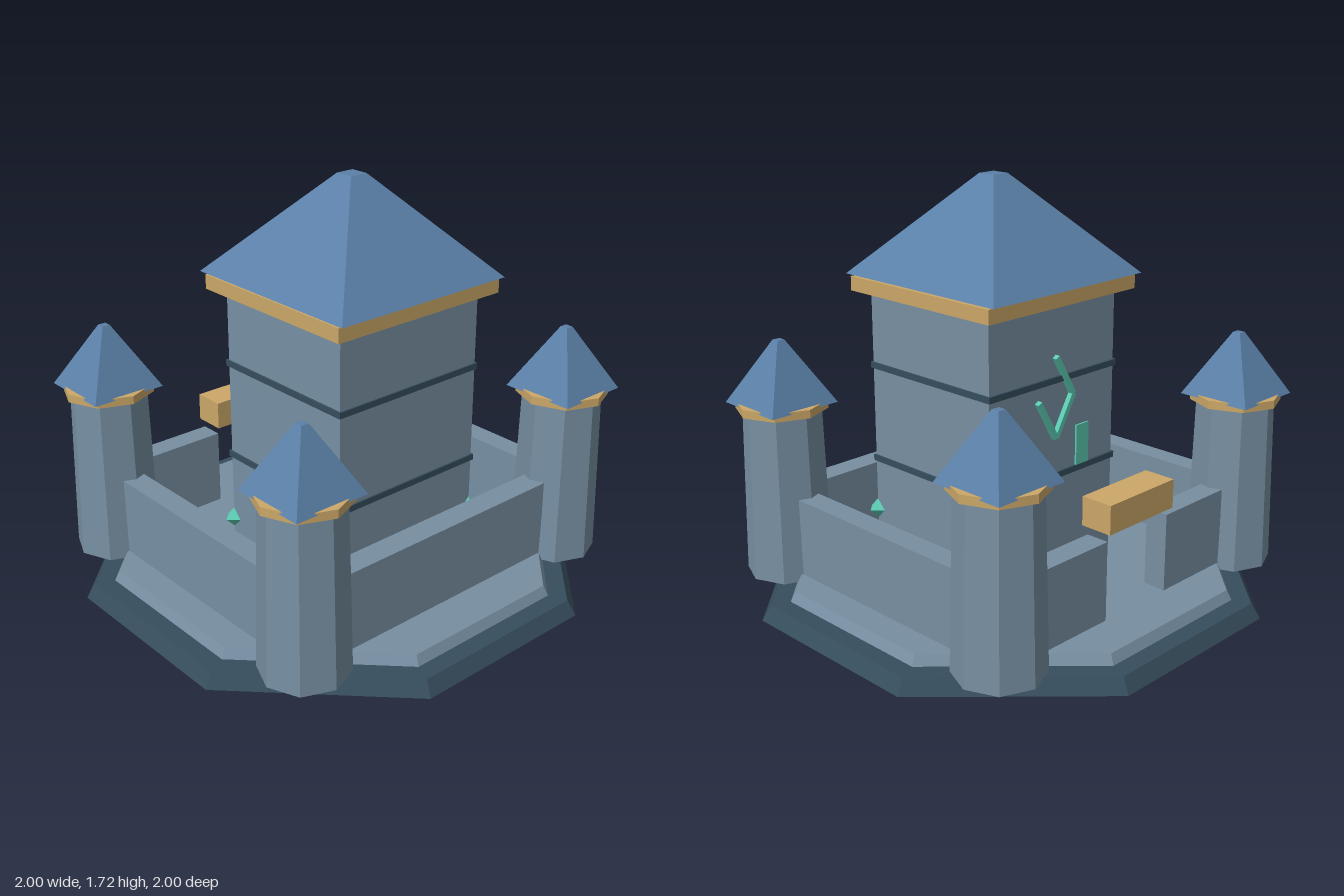
import * as THREE from 'three';

const mat = (name, color) => {
  const m = new THREE.MeshStandardMaterial({ color });
  m.name = name;
  return m;
};

export function createModel() {
  const root = new THREE.Group();
  root.name = 'castle';
  const stone = mat('stone', 0x778fa2);
  const slate = mat('darkSlate', 0x364d5c);
  const roof = mat('roofBlue', 0x5b80a8);
  const gold = mat('goldTrim', 0xcba768);
  const teal = mat('tealGlow', 0x5bc9b0);

  const add = (name, geo, material, x, y, z, parent = root) => {
    const mesh = new THREE.Mesh(geo, material);
    mesh.name = name;
    mesh.position.set(x, y, z);
    parent.add(mesh);
    return mesh;
  };
  // Box given by its bounds
  const box = (name, m, x0, x1, y0, y1, z0, z1, parent) =>
    add(name, new THREE.BoxGeometry(x1 - x0, y1 - y0, z1 - z0), m,
      (x0 + x1) / 2, (y0 + y1) / 2, (z0 + z1) / 2, parent);
  // Faceted tapered prism; flat = true turns a side (not a corner) to the front
  const prism = (name, m, sides, rTop, rBottom, y0, y1, x, z, flat, parent) => {
    const k = flat ? 1 / Math.cos(Math.PI / sides) : 1;
    let geo = new THREE.CylinderGeometry(rTop * k, rBottom * k, y1 - y0, sides);
    if (flat) geo.rotateY(Math.PI / sides);
    geo = geo.toNonIndexed();
    geo.computeVertexNormals();
    return add(name, geo, m, x, (y0 + y1) / 2, z, parent);
  };

  // Octagonal ground plates
  prism('base', slate, 8, 0.965, 1, 0, 0.06, 0, 0, true);
  prism('courtyard', stone, 8, 0.87, 0.89, 0.06, 0.1, 0, 0, true);

  // Curtain walls, with a gate gap at the back
  box('frontWall', stone, -0.55, 0.55, 0.08, 0.43, 0.58, 0.685);
  for (const s of [-1, 1]) {
    const a = s * 0.65, b = s * 0.75, c = s * 0.18, d = s * 0.55;
    box('sideWall', stone, Math.min(a, b), Math.max(a, b), 0.08, 0.43, -0.48, 0.48);
    box('backWall', stone, Math.min(c, d), Math.max(c, d), 0.08, 0.43, -0.69, -0.59);
  }
  box('gateLintel', gold, -0.19, 0.19, 0.465, 0.585, -0.71, -0.57);

  // Corner towers
  for (const x of [-0.7, 0.7]) for (const z of [-0.63, 0.625]) {
    const tower = new THREE.Group();
    tower.name = 'cornerTower';
    root.add(tower);
    prism('towerShaft', stone, 8, 0.163, 0.18, 0.07, 0.785, x, z, false, tower);
    prism('towerTrim', gold, 8, 0.19, 0.19, 0.78, 0.815, x, z, false, tower);
    prism('towerRoof', roof, 4, 0.017, 0.162, 0.805, 1.07, x, z, true, tower);
  }

  // Keep
  const keep = new THREE.Group();
  keep.name = 'keep';
  root.add(keep);
  box('keepBody', stone, -0.362, 0.362, 0.09, 1.316, -0.24, 0.44, keep);
  for (const y of [0.523, 0.932])
    box('keepBand', slate, -0.37, 0.37, y - 0.013, y + 0.013, -0.25, 0.447, keep);
  box('keepTrim', gold, -0.42, 0.42, 1.247, 1.307, -0.3, 0.497, keep);
  prism('keepRoof', roof, 4, 0.04, 0.425, 1.315, 1.722, 0, 0.096, true, keep);

  // Glowing windows and emblem rods on the back of the keep
  for (const x of [-0.17, 0.17])
    box('window', teal, x - 0.037, x + 0.037, 0.515, 0.71, -0.249, -0.241, keep);
  const rods = [
    [0, 1.03, -0.1, 0.86], [-0.1, 0.86, 0, 0.69], [0.1, 0.86, 0, 0.69],
  ];
  for (const [x0, y0, x1, y1] of rods) {
    const len = Math.hypot(x1 - x0, y1 - y0);
    const rod = add('emblemRod', new THREE.BoxGeometry(len, 0.022, 0.022), teal,
      (x0 + x1) / 2, (y0 + y1) / 2, -0.252, keep);
    rod.rotation.z = Math.atan2(y1 - y0, x1 - x0);
  }

  // Small crystals at the foot of the keep
  for (const x of [-0.36, 0.36]) for (const [y, z] of [[0.22, -0.24], [0.29, 0.44]])
    add('cornerCrystal', new THREE.OctahedronGeometry(0.045), teal, x, y, z, keep);

  return root;
}
